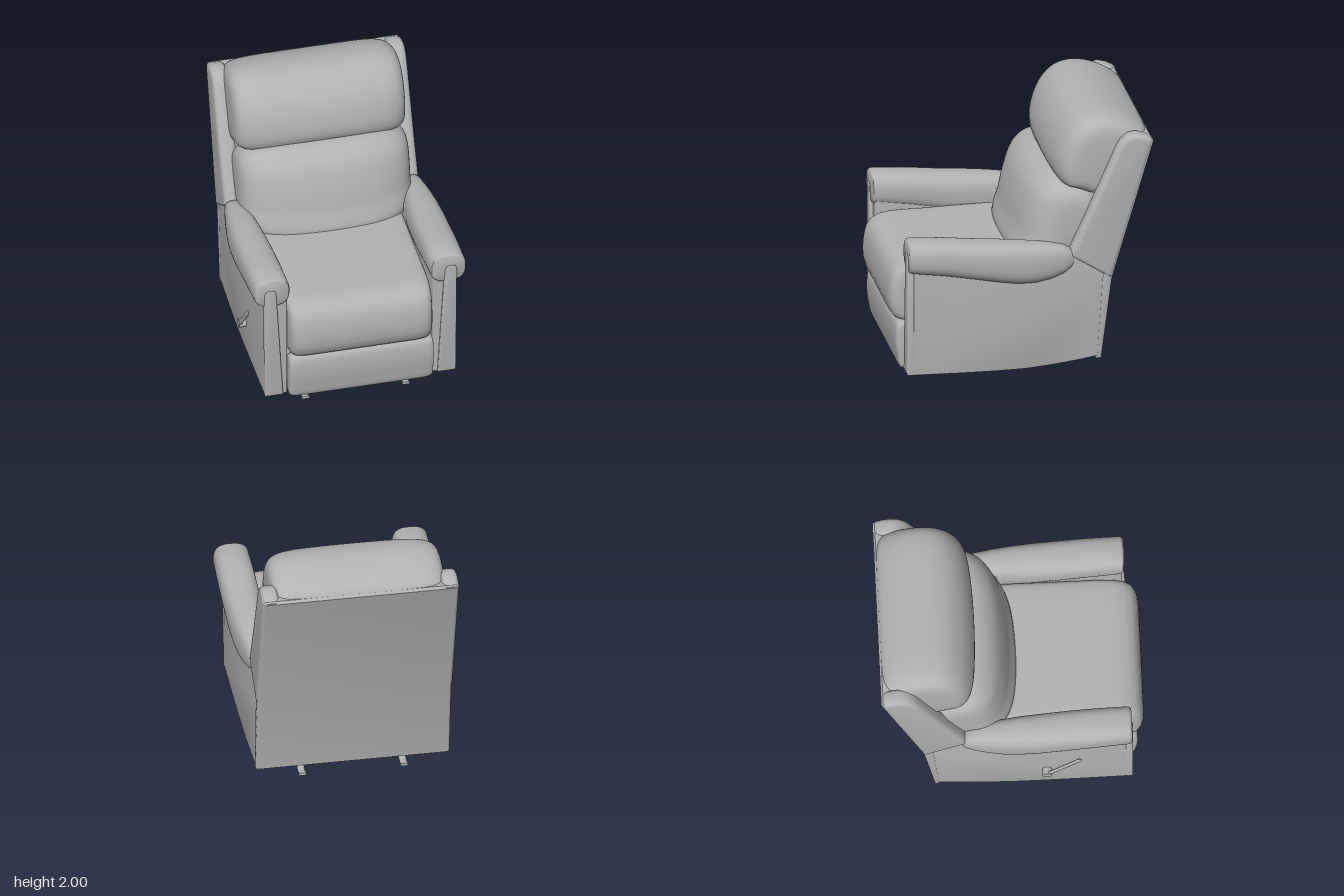
import * as THREE from 'three';
import { toCreasedNormals } from 'three/addons/utils/BufferGeometryUtils.js';

const upholstery = new THREE.MeshStandardMaterial({ color: 0xb2b2b2 });
upholstery.name = 'grey upholstery';

// Skin a list of closed rings (arrays of [x, y, z])
function loft(rings) {
  const n = rings[0].length, index = [];
  for (let i = 0; i < rings.length - 1; i++) {
    for (let j = 0; j < n; j++) {
      const a = i * n + j, b = i * n + (j + 1) % n;
      index.push(a, a + n, b, b, a + n, b + n);
    }
  }
  const g = new THREE.BufferGeometry();
  g.setAttribute('position', new THREE.Float32BufferAttribute(rings.flat(2), 3));
  g.setIndex(index);
  return toCreasedNormals(g, 0.75);
}

// Stuffed cushion: a (z, y) profile swept across x, shrinking to an anchor at both ends
function cushion(profile, halfWidth, anchor, power, bow = 0, arch = 0) {
  const curve = new THREE.CatmullRomCurve3(profile.map(([z, y]) => new THREE.Vector3(0, y, z)), true);
  const pts = curve.getSpacedPoints(56).slice(0, -1);
  const [az, ay] = anchor, rings = [], steps = 48;
  for (let i = 0; i <= steps; i++) {
    const t = Math.sin((i / steps - 0.5) * Math.PI);
    const k = Math.pow(Math.max(0, 1 - Math.pow(Math.abs(t), power)), 1 / power);
    rings.push(pts.map(p => [
      t * halfWidth,
      ay + (p.y - ay) * k * (p.y < ay ? 1 + arch * t * t : 1),
      az + (p.z - az) * k * (p.z > az ? 1 - bow * t * t : 1),
    ]));
  }
  return loft(rings);
}

const shapeOf = pts => new THREE.Shape(pts.map(p => new THREE.Vector2(...p)));

// Padded board: a (z, y) outline extruded from x0 to x1 with rounded edges
function slab(outline, x0, x1, bevel) {
  const g = new THREE.ExtrudeGeometry(shapeOf(outline), {
    depth: x1 - x0 - 2 * bevel, bevelThickness: bevel, bevelSize: bevel, bevelOffset: -bevel, bevelSegments: 5,
  });
  g.rotateY(-Math.PI / 2).translate(x1 - bevel, 0, 0);
  return toCreasedNormals(g, 0.6);
}

// Rolled armrest: sections of [z, inner x, outer x, bottom y, top y], front to back
function armrest(s) {
  const sections = [
    [0.87, 0.66, 0.66, 1.06, 1.06], [0.87, 0.55, 0.775, 0.96, 1.16], [0.863, 0.535, 0.787, 0.945, 1.173],
    [0.845, 0.528, 0.793, 0.935, 1.18], [0.6, 0.525, 0.797, 0.895, 1.162], [0.38, 0.525, 0.797, 0.85, 1.135],
    [0.2, 0.53, 0.795, 0.81, 1.118], [0.05, 0.537, 0.788, 0.782, 1.103], [-0.08, 0.55, 0.776, 0.778, 1.085],
    [-0.2, 0.565, 0.758, 0.797, 1.065], [-0.29, 0.585, 0.742, 0.83, 1.045], [-0.345, 0.61, 0.73, 0.87, 1.02],
    [-0.368, 0.64, 0.715, 0.91, 0.98], [-0.375, 0.68, 0.68, 0.945, 0.945],
  ];
  const round = v => Math.sign(v) * Math.pow(Math.abs(v), 2 / 2.7);
  return loft(sections.map(([z, xi, xo, y0, y1]) => Array.from({ length: 40 }, (_, j) => {
    const a = s * j / 40 * Math.PI * 2;
    return [
      s * ((xi + xo) / 2 + (xo - xi) / 2 * round(Math.cos(a))),
      (y0 + y1) / 2 + (y1 - y0) / 2 * round(Math.sin(a)), z,
    ];
  })));
}

export function createModel() {
  const model = new THREE.Group();
  model.name = 'recliner';
  const add = (name, geometry, parent = model) => {
    const mesh = new THREE.Mesh(geometry, upholstery);
    mesh.name = name;
    parent.add(mesh);
    return mesh;
  };
  const box = (name, x, y, z, w, h, d) => add(name, new THREE.BoxGeometry(w, h, d).translate(x, y, z));

  // Cushions
  add('seatCushion', cushion([[0.86, 0.475], [0.93, 0.5], [0.965, 0.6], [0.963, 0.74], [0.925, 0.865], [0.84, 0.913],
    [0.5, 0.922], [0, 0.922], [-0.3, 0.915], [-0.3, 0.5], [0.3, 0.475]], 0.54, [0.3, 0.7], 14));
  add('footrest', cushion([[0.84, 0.103], [0.885, 0.108], [0.915, 0.22], [0.926, 0.36], [0.905, 0.465], [0.84, 0.48],
    [0.78, 0.4], [0.78, 0.16]], 0.54, [0.82, 0.29], 16));
  add('lowerBackCushion', cushion([[0.045, 0.88], [0.005, 1.08], [-0.035, 1.25], [-0.1, 1.41], [-0.19, 1.49],
    [-0.29, 1.513], [-0.5, 1.46], [-0.62, 1.3], [-0.5, 0.9], [-0.25, 0.8]], 0.645, [-0.45, 1.2], 4.5, 0.14));
  add('headCushion', cushion([[-0.38, 1.465], [-0.285, 1.495], [-0.252, 1.57], [-0.265, 1.7], [-0.335, 1.86],
    [-0.45, 1.965], [-0.6, 2.0], [-0.76, 1.97], [-0.9, 1.895], [-0.95, 1.84], [-0.85, 1.6], [-0.6, 1.42]],
  0.645, [-0.65, 1.65], 7, 0.1, 0.25));

  // Rear shell
  add('backPanel', slab([[-0.57, 0.14], [-0.53, 0.14], [-0.57, 0.77], [-0.86, 1.85], [-0.945, 1.85],
    [-0.96, 1.83], [-0.65, 0.77]], -0.718, 0.718, 0.018));

  // Parts found on both sides
  for (const s of [1, -1]) {
    const side = s > 0 ? 'left' : 'right';
    const pair = (a, b) => s > 0 ? [a, b] : [-b, -a];
    add(side + 'Armrest', armrest(s));
    add(side + 'SidePanel', slab([[0.85, 0.125], [0.85, 1.05], [0.3, 1.02], [-0.37, 0.98], [-0.645, 0.77],
      [-0.56, 0.165], [-0.4, 0.14], [-0.2, 0.118], [0, 0.105], [0.2, 0.105], [0.5, 0.112]], ...pair(0.545, 0.715), 0.012));
    add(side + 'BackWing', slab([[-0.33, 0.97], [-0.36, 1.05], [-0.5, 1.35], [-0.69, 1.79], [-0.72, 1.84], [-0.77, 1.88],
      [-0.83, 1.893], [-0.9, 1.875], [-0.957, 1.84], [-0.95, 1.8], [-0.645, 0.765]], ...pair(0.6, 0.728), 0.04));

    // Narrow padded strip on the arm front
    const strip = new THREE.ExtrudeGeometry(shapeOf([[0.58, 0.13], [0.715, 0.13], [0.722, 1.05], [0.71, 1.085],
      [0.645, 1.085], [0.632, 1.05]].map(([x, y]) => [s * x, y])), {
      depth: 0.03, bevelThickness: 0.012, bevelSize: 0.012, bevelOffset: -0.012, bevelSegments: 3 });
    add(side + 'ArmFrontStrip', toCreasedNormals(strip.translate(0, 0, 0.836), 0.6));
  }

  // Inner body and the rim around the underside
  box('innerBody', 0, 0.5, 0.13, 1.12, 0.6, 1.34);
  box('frontRim', 0, 0.165, 0.76, 1.1, 0.08, 0.08);
  box('rearRim', 0, 0.18, -0.5, 1.1, 0.08, 0.08);
  for (const x of [-0.51, 0.51]) box('sideRim', x, 0.165, 0.13, 0.08, 0.08, 1.3);

  // Metal base: two flattened runners with turned-out feet, joined by crossbars
  const runner = new THREE.CatmullRomCurve3([[0.79, 0.012], [0.72, 0.012], [0.68, 0.03], [0.63, 0.12], [0.58, 0.15],
    [0.3, 0.15], [0, 0.15], [-0.28, 0.15], [-0.335, 0.12], [-0.38, 0.03], [-0.42, 0.012], [-0.49, 0.012],
  ].map(([z, y]) => new THREE.Vector3(0, y, z)), false, 'centripetal');
  for (const x of [-0.395, 0.357]) {
    add('baseRunner', new THREE.TubeGeometry(runner, 80, 0.012, 10).scale(2.3, 1, 1).translate(x, 0, 0));
    for (const z of [0.793, -0.493]) box('footPad', x, 0.012, z, 0.055, 0.022, 0.012);
  }
  for (const z of [0.55, -0.27]) box('baseCrossbar', -0.02, 0.155, z, 0.75, 0.025, 0.025);

  // Recline lever on the right side
  const lever = new THREE.Group();
  lever.name = 'reclineLever';
  lever.position.set(-0.755, 0.355, 0.25);
  model.add(lever);
  add('leverPivot', new THREE.CylinderGeometry(0.035, 0.035, 0.06, 24).rotateZ(Math.PI / 2).translate(0.018, 0, 0), lever);
  const bar = add('leverBar', new THREE.CapsuleGeometry(0.02, 0.35, 6, 14).scale(0.5, 1, 1).translate(0, 0.175, 0), lever);
  bar.rotation.x = 0.73;
  return model;
}
